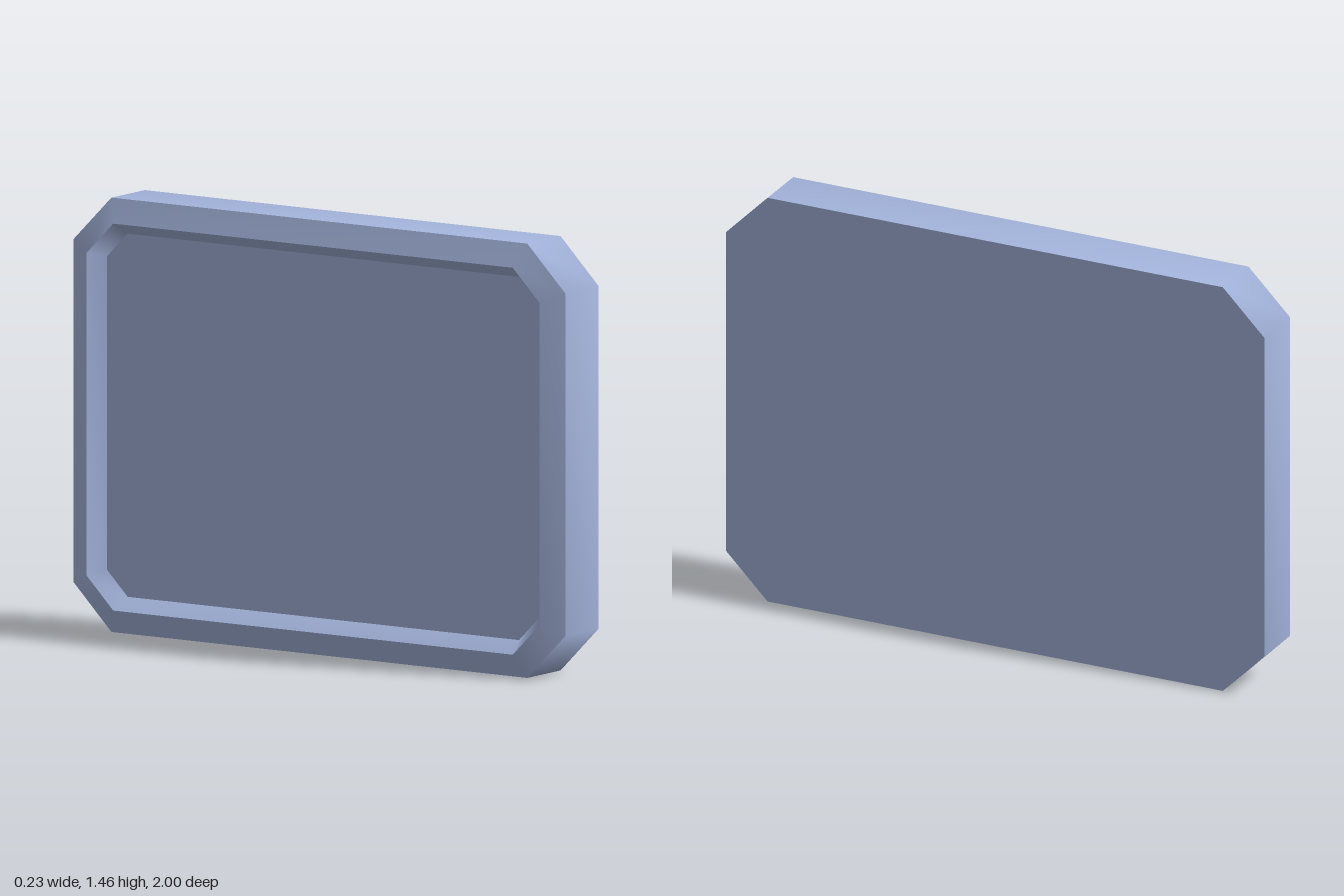
import * as THREE from 'three';

const HALF_Z = 1, HALF_Y = 0.732, CHAMFER = 0.155;

// Chamfered rectangle at depth x, offset inwards by d (counterclockwise seen from -x)
function ring(x, d) {
  const hz = HALF_Z - d, hy = HALF_Y - d;
  const c = CHAMFER - d * (2 - Math.SQRT2);
  return [
    [hz, c - hy], [hz, hy - c], [hz - c, hy], [c - hz, hy],
    [-hz, hy - c], [-hz, c - hy], [c - hz, -hy], [hz - c, -hy],
  ].map(([z, y]) => [x, y + HALF_Y, z]);
}

function build(points, index) {
  const g = new THREE.BufferGeometry();
  g.setAttribute('position', new THREE.Float32BufferAttribute(points.flat(), 3));
  g.setIndex(index);
  g.computeVertexNormals();
  return g;
}

// Band between two rings, smooth around the loop
function band(a, b) {
  const index = [], n = a.length;
  for (let i = 0; i < n; i++) {
    const j = (i + 1) % n;
    index.push(i, j, n + j, i, n + j, n + i);
  }
  return build([...a, ...b], index);
}

// Flat cap over one ring
function cap(r, towardPlusX) {
  const index = [];
  for (let i = 1; i < r.length - 1; i++) {
    index.push(0, ...(towardPlusX ? [i + 1, i] : [i, i + 1]));
  }
  return build(r, index);
}

export function createModel() {
  const group = new THREE.Group();
  group.name = 'panel';
  const paleBlue = new THREE.MeshStandardMaterial({ color: 0xa4b4dc });
  paleBlue.name = 'paleBlue';
  const add = (name, geometry) => {
    const mesh = new THREE.Mesh(geometry, paleBlue);
    mesh.name = name;
    group.add(mesh);
  };

  const face = ring(0.115, 0);
  const shoulder = ring(-0.078, 0);
  const rim = ring(-0.115, 0.08);
  const floor = ring(-0.055, 0.12);

  add('flatFace', cap(face, true));
  add('outerEdge', band(face, shoulder));
  add('bevel', band(shoulder, rim));
  add('recessWall', band(rim, floor));
  add('recessFloor', cap(floor, false));
  return group;
}
